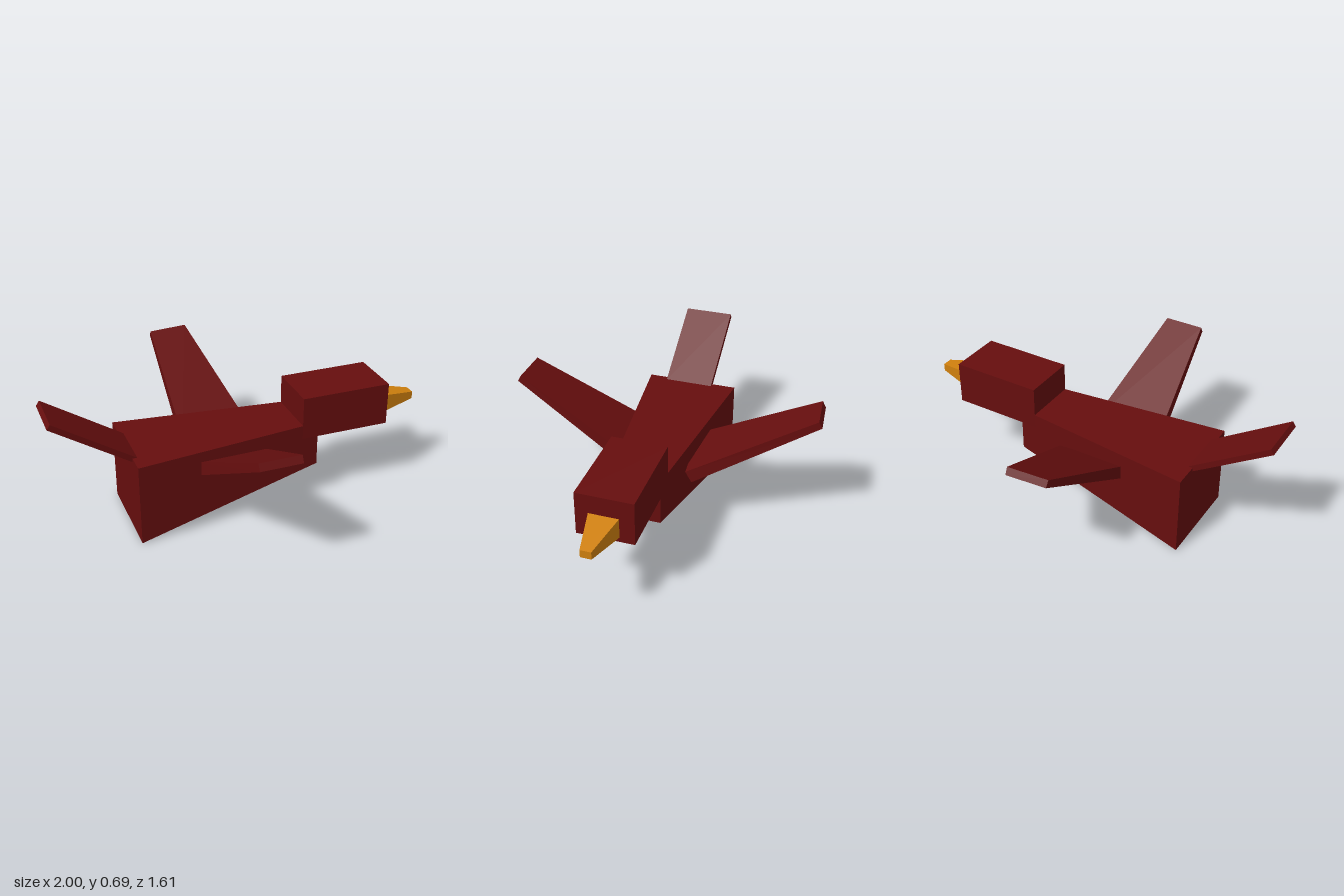
import * as THREE from 'three';

const red = new THREE.MeshStandardMaterial({ name: 'dark red', color: 0x660e0e });
const orange = new THREE.MeshStandardMaterial({ name: 'beak orange', color: 0xd0800e });

// Flat-sided solid between two four-cornered sections (counterclockwise about the a-to-b direction)
function loft(name, material, a, b) {
  const pos = [];
  const quad = (p, q, r, s) => pos.push(...p, ...q, ...r, ...p, ...r, ...s);
  for (let i = 0; i < 4; i++) {
    const j = (i + 1) % 4;
    quad(a[i], a[j], b[j], b[i]);
  }
  quad(a[3], a[2], a[1], a[0]);
  quad(b[0], b[1], b[2], b[3]);
  const g = new THREE.BufferGeometry();
  g.setAttribute('position', new THREE.Float32BufferAttribute(pos, 3));
  g.computeVertexNormals();
  const mesh = new THREE.Mesh(g, material);
  mesh.name = name;
  return mesh;
}

// Upright rectangular section at one x
const rect = (x, y0, y1, z0, z1) => [[x, y0, z0], [x, y1, z0], [x, y1, z1], [x, y0, z1]];

export function createModel() {
  const bird = new THREE.Group();
  bird.name = 'bird';

  // Body tapers forwards, with a level back and a rising belly
  bird.add(loft('body', red, rect(-0.605, 0, 0.435, -0.22, 0.27), rect(0.39, 0.19, 0.435, -0.11, 0.16)));

  // Head and blunt beak
  bird.add(loft('head', red, rect(0.3, 0.36, 0.59, -0.12, 0.17), rect(0.785, 0.36, 0.59, -0.12, 0.17)));
  bird.add(loft('beak', orange, rect(0.785, 0.385, 0.49, -0.045, 0.105), rect(1, 0.415, 0.455, 0.005, 0.06)));

  // Thin raised tail
  const [z0, z1] = [-0.09, 0.17];
  bird.add(loft('tail', red,
    [[-1, 0.67, z0], [-0.983, 0.695, z0], [-0.983, 0.695, z1], [-1, 0.67, z1]],
    [[-0.595, 0.408, z0], [-0.578, 0.433, z0], [-0.578, 0.433, z1], [-0.595, 0.408, z1]]));

  // Raised tapering wings; the right one is swept slightly
  bird.add(loft('leftWing', red,
    [[-0.285, 0.268, 0.17], [0.093, 0.268, 0.17], [0.095, 0.33, 0.14], [-0.287, 0.33, 0.14]],
    [[-0.2, 0.633, 0.803], [0.01, 0.633, 0.803], [0.01, 0.667, 0.784], [-0.2, 0.667, 0.784]]));
  bird.add(loft('rightWing', red,
    [[-0.258, 0.33, -0.12], [0.122, 0.33, -0.155], [0.119, 0.27, -0.188], [-0.258, 0.27, -0.15]],
    [[-0.227, 0.665, -0.768], [-0.018, 0.667, -0.787], [-0.02, 0.633, -0.805], [-0.225, 0.631, -0.786]]));

  return bird;
}
